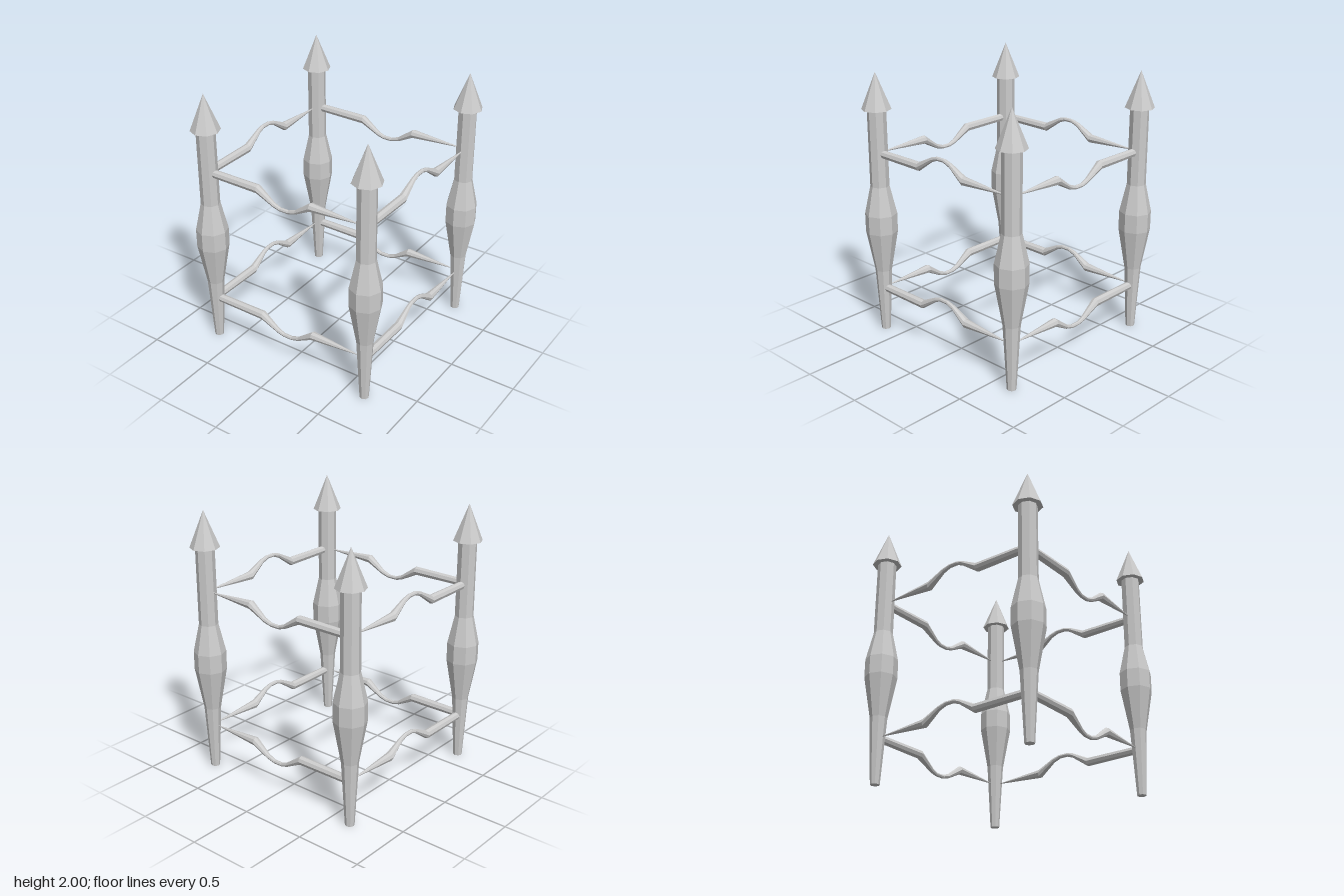
import * as THREE from 'three';

const material = new THREE.MeshStandardMaterial({ color: 0xcccccc, flatShading: true });
const HALF = 0.662; // distance of each post from the centre lines

// Eight-sided turned solid from [radius, height] pairs, listed bottom to top
function turned(profile) {
  return new THREE.LatheGeometry(profile.map(([r, y]) => new THREE.Vector2(r, y)), 8);
}

function addMesh(parent, geometry, name) {
  const mesh = new THREE.Mesh(geometry, material);
  mesh.name = name;
  parent.add(mesh);
  return mesh;
}

// Rail along x: thick at -x, pointed at +x, its middle bent up or down
function railGeometry(bend) {
  // [position, radius, share of the bend]
  const stations = [
    [-0.63, 0, 0], [-0.63, 0.03, 0], [-0.22, 0.033, 0], [-0.085, 0.018, 0.83], [-0.035, 0.015, 1],
    [0.035, 0.015, 1], [0.095, 0.018, 0.8], [0.22, 0.033, 0], [0.62, 0.002, 0], [0.62, 0, 0],
  ];
  const geometry = turned(stations.map(([s, r]) => [r, s])).rotateZ(-Math.PI / 2);
  const position = geometry.attributes.position;
  for (let i = 0; i < position.count; i++) {
    const share = stations[i % stations.length][2];
    position.setY(i, position.getY(i) + bend * share);
  }
  geometry.computeVertexNormals();
  return geometry;
}

export function createModel() {
  const model = new THREE.Group();
  model.name = 'postFrame';

  // Four turned posts with pointed caps
  const shaft = turned([
    [0, 0], [0.034, 0], [0.062, 0.49], [0.09, 0.645], [0.118, 0.8],
    [0.118, 0.94], [0.07, 1.155], [0.069, 1.74],
  ]);
  const cap = turned([[0, 1.725], [0.108, 1.73], [0, 2]]);
  for (const x of [-HALF, HALF]) {
    for (const z of [-HALF, HALF]) {
      const post = new THREE.Group();
      post.name = 'post';
      post.position.set(x, 0, z);
      addMesh(post, shaft, 'postShaft');
      addMesh(post, cap, 'postCap');
      model.add(post);
    }
  }

  // Two levels of rails: dipping at front and back, arching at the sides
  const dipped = railGeometry(-0.1);
  const arched = railGeometry(0.098).rotateY(Math.PI / 2);
  for (const y of [0.345, 1.404]) {
    for (const side of [-HALF, HALF]) {
      addMesh(model, dipped, side > 0 ? 'frontRail' : 'backRail').position.set(0, y, side);
      addMesh(model, arched, side > 0 ? 'leftRail' : 'rightRail').position.set(side, y, 0);
    }
  }
  return model;
}
